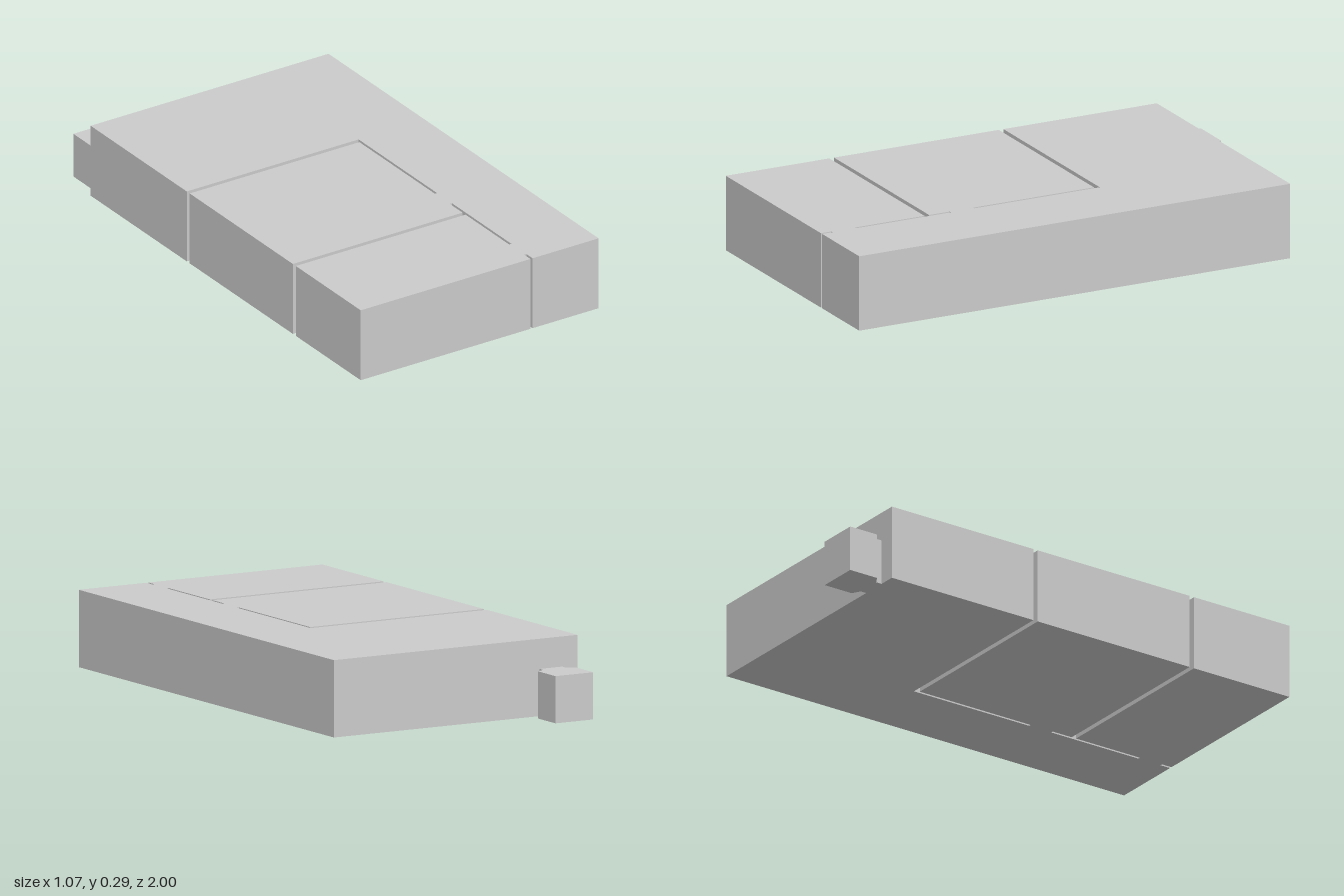
import * as THREE from 'three';

const material = new THREE.MeshStandardMaterial({ color: 0xcccccc, flatShading: true });

// Raises a floor outline, given as [x, z] corners, to the wanted height.
function slab(name, outline, height) {
  const shape = new THREE.Shape(outline.map(([x, z]) => new THREE.Vector2(x, -z)));
  const geometry = new THREE.ExtrudeGeometry(shape, { depth: height, bevelEnabled: false });
  geometry.rotateX(-Math.PI / 2);
  const mesh = new THREE.Mesh(geometry, material);
  mesh.name = name;
  return mesh;
}

export function createModel() {
  const group = new THREE.Group();
  group.name = 'roomBlock';

  const side = 0.537, back = -0.832, front = 1;
  const inner = 0.229, outer = 0.239; // the two faces of the long slot

  // Main block: rooms divided by thin slots, joined by two short bridges
  group.add(slab('rooms', [
    [-side, back], [-side, -0.18],
    // L-shaped slot behind the middle room
    [outer, -0.18], [outer, 0.352], [inner, 0.352], [inner, -0.16], [-side, -0.16],
    // T-shaped slot between the middle and front rooms
    [-side, 0.54], [inner, 0.54], [inner, 0.453], [outer, 0.453],
    [outer, 0.856], [inner, 0.856], [inner, 0.56], [-side, 0.56],
    // Short slot open at the front
    [-side, front], [inner, front], [inner, 0.957], [outer, 0.957], [outer, front],
    [side, front], [side, back],
  ], 0.295));

  // Low entrance at the back: narrow neck flaring to a wider end
  const centre = -0.42, neck = 0.05, wide = 0.083;
  const half = [[neck, back], [neck, -0.857], [wide, -0.876], [wide, -1]];
  group.add(slab('entrance', [
    ...half.map(([x, z]) => [centre + x, z]),
    ...half.slice().reverse().map(([x, z]) => [centre - x, z]),
  ], 0.18));

  return group;
}
